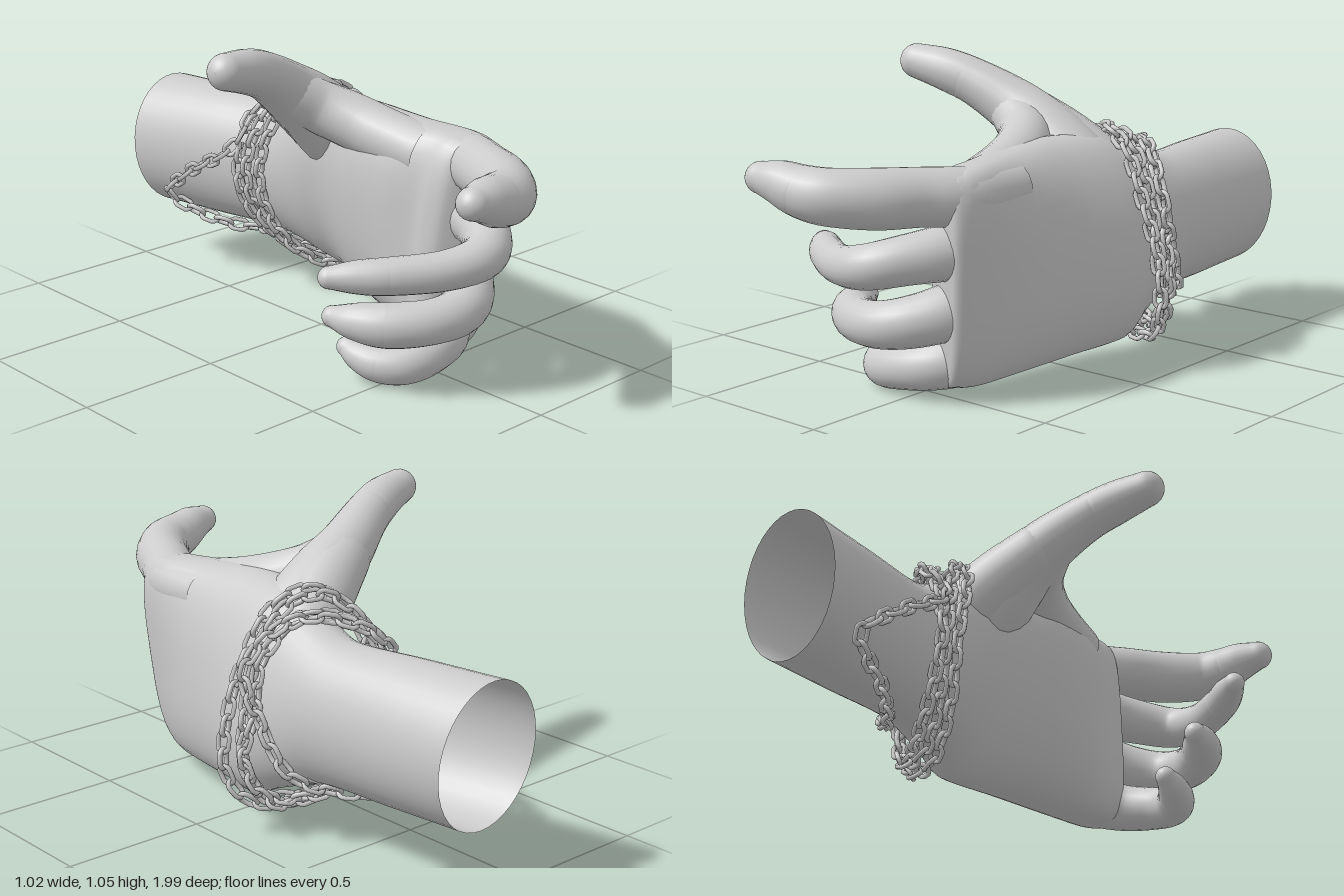
import * as THREE from 'three';
import { mergeGeometries } from 'three/addons/utils/BufferGeometryUtils.js';

const V = (x, y, z) => new THREE.Vector3(x, y, z);
const material = new THREE.MeshStandardMaterial({ color: 0xcccccc, roughness: 0.7, side: THREE.DoubleSide });

function addMesh(parent, geometry, name) {
  const mesh = new THREE.Mesh(geometry, material);
  mesh.name = name;
  parent.add(mesh);
}

// Smooth skin through a list of closed rings with equal point counts
function loft(rings) {
  const n = rings[0].length;
  const positions = [], index = [];
  rings.forEach((ring) => ring.forEach((p) => positions.push(p.x, p.y, p.z)));
  for (let i = 0; i < rings.length - 1; i++) {
    for (let j = 0; j < n; j++) {
      const k = (j + 1) % n;
      const a = i * n + j, b = i * n + k, c = a + n, d = b + n;
      index.push(a, b, c, b, d, c);
    }
  }
  const geometry = new THREE.BufferGeometry();
  geometry.setAttribute('position', new THREE.Float32BufferAttribute(positions, 3));
  geometry.setIndex(index);
  geometry.computeVertexNormals();
  return geometry;
}

// Forearm, wrist and palm: each row is
// top x, y, z, bottom x, y, z, half thickness, squareness, forward lean of the back of the hand
const armRows = [
  [0.155, 0.69, -1.0, 0.155, 0.20, -0.96, 0.207, 1, 0],
  [0.195, 0.69, -0.7, 0.195, 0.20, -0.68, 0.187, 1, 0],
  [0.230, 0.69, -0.42, 0.235, 0.20, -0.40, 0.167, 1, 0],
  [0.200, 0.745, -0.24, 0.275, 0.14, -0.20, 0.168, 0.98, 0],
  [0.175, 0.79, -0.10, 0.300, 0.10, -0.10, 0.165, 0.95, 0],
  [0.140, 0.80, 0.10, 0.230, 0.075, 0.10, 0.18, 0.88, 0],
  [0.150, 0.785, 0.30, 0.175, 0.055, 0.30, 0.163, 0.78, 0.1],
  [0.175, 0.775, 0.45, 0.130, 0.04, 0.43, 0.13, 0.62, 0.3],
  [0.170, 0.765, 0.53, 0.105, 0.045, 0.49, 0.118, 0.6, 0.5],
  [0.160, 0.73, 0.58, 0.100, 0.08, 0.53, 0.09, 0.65, 0.55],
  [0.130, 0.42, 0.57, 0.130, 0.42, 0.57, 0, 1, 0],
];

function armGeometry() {
  const sides = 40, steps = 60, rings = Array.from({ length: steps + 1 }, () => []);
  const soften = (v, e) => Math.sign(v) * Math.pow(Math.abs(v), e);
  for (let j = 0; j < sides; j++) {
    const angle = (j / sides) * Math.PI * 2;
    const points = armRows.map(([tx, ty, tz, bx, by, bz, half, e, lean]) => {
      const c = half * soften(Math.cos(angle), e), f = (soften(Math.sin(angle), e) + 1) / 2;
      return V(bx + (tx - bx) * f + c, by + (ty - by) * f, bz + (tz - bz) * f + lean * c);
    });
    new THREE.CatmullRomCurve3(points, false, 'catmullrom', 0.4)
      .getPoints(steps).forEach((p, i) => rings[i].push(p));
  }
  return loft(rings);
}

// Finger rows: x, y, z, radius; the last row is the centre of the rounded end
const fingers = {
  indexFinger: [[0.2, 0.67, 0.3, 0.09], [0.187, 0.675, 0.5, 0.095], [0.118, 0.685, 0.64, 0.094], [0.05, 0.69, 0.765, 0.096],
    [-0.045, 0.7, 0.87, 0.09], [-0.13, 0.712, 0.903, 0.083], [-0.2, 0.732, 0.922, 0.071], [-0.27, 0.742, 0.937, 0.052]],
  middleFinger: [[0.22, 0.51, 0.25, 0.09], [0.175, 0.505, 0.51, 0.092], [0.095, 0.49, 0.665, 0.081], [-0.01, 0.465, 0.752, 0.073],
    [-0.15, 0.445, 0.725, 0.064], [-0.3, 0.44, 0.635, 0.06], [-0.38, 0.44, 0.57, 0.053], [-0.445, 0.44, 0.515, 0.036]],
  ringFinger: [[0.22, 0.33, 0.25, 0.09], [0.16, 0.31, 0.49, 0.093], [0.08, 0.28, 0.61, 0.086], [-0.02, 0.26, 0.67, 0.078],
    [-0.14, 0.25, 0.655, 0.073], [-0.25, 0.245, 0.575, 0.073], [-0.31, 0.25, 0.49, 0.06], [-0.34, 0.255, 0.42, 0.036]],
  littleFinger: [[0.19, 0.165, 0.25, 0.08], [0.13, 0.13, 0.44, 0.087], [0.06, 0.11, 0.53, 0.081], [-0.05, 0.09, 0.56, 0.074],
    [-0.14, 0.073, 0.545, 0.068], [-0.2, 0.073, 0.49, 0.062], [-0.23, 0.09, 0.43, 0.05], [-0.24, 0.11, 0.38, 0.034]],
  thumb: [[0.2, 0.62, -0.1, 0.13], [0.11, 0.7, -0.09, 0.13], [0.01, 0.785, -0.08, 0.115], [-0.1, 0.858, -0.065, 0.098],
    [-0.23, 0.933, -0.02, 0.081], [-0.34, 0.975, 0.018, 0.074], [-0.45, 0.998, 0.045, 0.061]],
};

// Muscle at the root of the thumb, and the web between thumb and index finger
const thumbRoots = {
  thumbMuscle: [[0.25, 0.58, -0.22, 0.1], [0.16, 0.67, -0.17, 0.115], [0.05, 0.755, -0.125, 0.112], [-0.06, 0.83, -0.085, 0.1]],
  thumbWeb: [[0.13, 0.68, 0.36, 0.095], [0.1, 0.71, 0.22, 0.095], [0.065, 0.745, 0.1, 0.095], [0, 0.79, 0, 0.09], [-0.1, 0.85, -0.05, 0.08]],
};

// Rings of a round limb, closed by a dome
function limbRings(rows) {
  const sides = 20, steps = 40;
  const path = new THREE.CatmullRomCurve3(rows.map(([x, y, z]) => V(x, y, z)));
  const radii = new THREE.CatmullRomCurve3(rows.map((r) => V(r[3], 0, 0)));
  path.curveType = radii.curveType = 'catmullrom';
  const ringAt = (centre, tangent, r) => {
    const n = tangent.clone().cross(V(0, 1, 0)).normalize();
    const b = tangent.clone().cross(n);
    return Array.from({ length: sides }, (_, j) => {
      const a = (j / sides) * Math.PI * 2;
      return centre.clone().addScaledVector(n, r * Math.cos(a)).addScaledVector(b, r * Math.sin(a));
    });
  };
  const rings = [];
  for (let i = 0; i <= steps; i++) {
    const t = i / steps;
    rings.push(ringAt(path.getPoint(t), path.getTangent(t), radii.getPoint(t).x));
  }
  const end = path.getPoint(1), dir = path.getTangent(1), r = rows[rows.length - 1][3];
  for (let i = 1; i <= 8; i++) {
    const a = (i / 8) * Math.PI / 2;
    rings.push(ringAt(end.clone().addScaledVector(dir, r * Math.sin(a)), dir, r * Math.max(Math.cos(a), 0.001)));
  }
  return rings;
}

function addFinger(parent, name, rows) {
  const tipStart = 29, rings = limbRings(rows);
  const finger = new THREE.Group();
  finger.name = name;
  addMesh(finger, loft(rings.slice(0, tipStart + 1)), name + 'Shaft');
  addMesh(finger, loft(rings.slice(tipStart)), name + 'Tip');
  parent.add(finger);
}

// Oval link: a torus pulled apart along its length
function linkGeometry() {
  const link = new THREE.TorusGeometry(0.02, 0.0085, 6, 14);
  const p = link.attributes.position;
  for (let i = 0; i < p.count; i++) {
    const x = p.getX(i);
    if (Math.abs(x) > 0.001) p.setX(i, x + Math.sign(x) * 0.013);
  }
  return link;
}

// Chain of links turned alternately about a closed path
function chainGeometry(points) {
  const path = new THREE.CatmullRomCurve3(points.map((p) => V(...p)), true);
  path.arcLengthDivisions = 400;
  const centre = points.reduce((s, p) => s.add(V(...p)), V(0, 0, 0)).divideScalar(points.length);
  const count = 2 * Math.round(path.getLength() / 0.056 / 2);
  const base = linkGeometry(), links = [];
  for (let i = 0; i < count; i++) {
    const p = path.getPointAt(i / count), t = path.getTangentAt(i / count);
    const b = t.clone().cross(p.clone().sub(centre)).normalize();
    const n = b.clone().cross(t);
    const m = new THREE.Matrix4().makeBasis(t, n, b).setPosition(p);
    m.multiply(new THREE.Matrix4().makeRotationX((i % 2 ? 1 : -1) * Math.PI / 4));
    links.push(base.clone().applyMatrix4(m));
  }
  return mergeGeometries(links);
}

const chains = {
  frontChain: [[0.17, 0.8, -0.21], [0.3, 0.75, -0.16], [0.4, 0.58, -0.13], [0.465, 0.4, -0.125], [0.475, 0.22, -0.13],
    [0.41, 0.12, -0.18], [0.25, 0.11, -0.24], [0.1, 0.23, -0.32], [0.03, 0.45, -0.36], [0.06, 0.69, -0.29]],
  middleChain: [[0.15, 0.785, -0.26], [0.28, 0.765, -0.21], [0.38, 0.62, -0.18], [0.43, 0.42, -0.175], [0.45, 0.25, -0.2],
    [0.38, 0.13, -0.25], [0.24, 0.13, -0.29], [0.1, 0.24, -0.37], [0.02, 0.45, -0.42], [0.06, 0.67, -0.36]],
  backChain: [[0.16, 0.73, -0.36], [0.29, 0.74, -0.28], [0.4, 0.6, -0.22], [0.43, 0.42, -0.22], [0.46, 0.3, -0.2],
    [0.4, 0.16, -0.22], [0.24, 0.15, -0.33], [0.08, 0.27, -0.42], [0.01, 0.45, -0.45], [0.07, 0.65, -0.43]],
  looseChain: [[0.44, 0.58, -0.19], [0.43, 0.42, -0.25], [0.39, 0.26, -0.34], [0.27, 0.195, -0.43], [0.1, 0.2, -0.62],
    [-0.01, 0.29, -0.82], [-0.035, 0.41, -0.68], [-0.005, 0.55, -0.46], [0.12, 0.7, -0.43], [0.31, 0.74, -0.28]],
};

export function createModel() {
  const model = new THREE.Group();
  model.name = 'handWithChain';
  addMesh(model, armGeometry(), 'forearmAndPalm');
  for (const [name, rows] of Object.entries(fingers)) addFinger(model, name, rows);
  for (const [name, rows] of Object.entries(thumbRoots)) addMesh(model, loft(limbRings(rows)), name);

  const bracelet = new THREE.Group();
  bracelet.name = 'chainBracelet';
  for (const [name, points] of Object.entries(chains)) addMesh(bracelet, chainGeometry(points), name);
  model.add(bracelet);
  return model;
}
